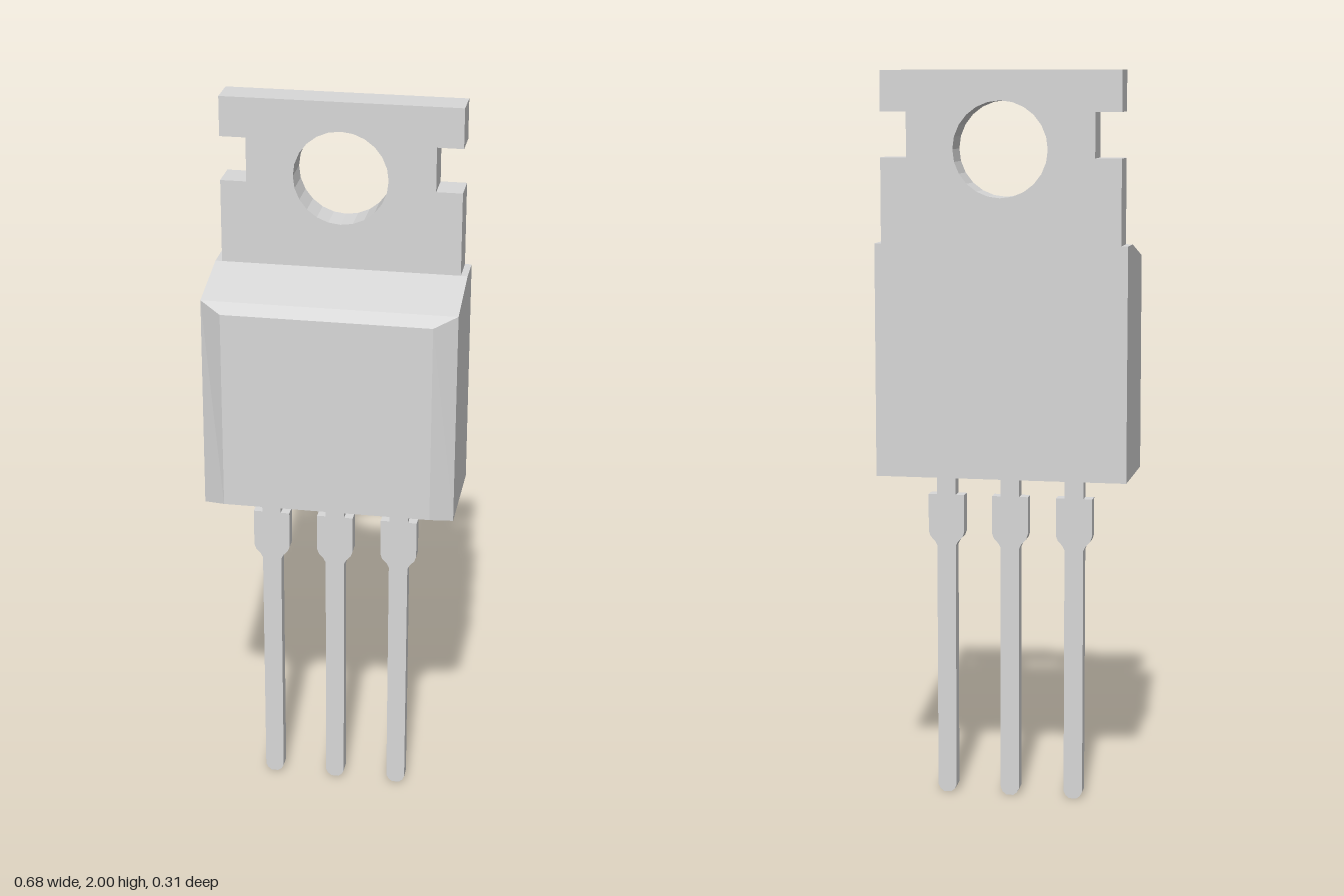
import * as THREE from 'three';

const metalGray = new THREE.MeshStandardMaterial({ color: 0xd8d8d8 });
metalGray.name = 'metalGray';

// Closed counterclockwise outline from the right half (listed bottom to top)
function mirroredShape(half) {
  const left = half.map(([x, y]) => [-x, y]).reverse();
  return new THREE.Shape([...half, ...left].map(([x, y]) => new THREE.Vector2(x, y)));
}

function plate(name, shape, z0, z1) {
  const geo = new THREE.ExtrudeGeometry(shape, { depth: z1 - z0, bevelEnabled: false, curveSegments: 12 });
  geo.translate(0, 0, z0);
  const mesh = new THREE.Mesh(geo, metalGray);
  mesh.name = name;
  return mesh;
}

// Solid skinned over rectangular sections running back to front
function sectionSolid(sections) {
  const pos = [];
  const rings = sections.map(([z, x, y0, y1, zTop = z]) => [[-x, y0, z], [x, y0, z], [x, y1, zTop], [-x, y1, zTop]]);
  const quad = (a, b, c, d) => pos.push(...a, ...b, ...c, ...a, ...c, ...d);
  for (let i = 0; i < rings.length - 1; i++) {
    const r = rings[i], s = rings[i + 1];
    for (let k = 0; k < 4; k++) {
      const n = (k + 1) % 4;
      quad(r[k], r[n], s[n], s[k]);
    }
  }
  const b = rings[0], f = rings[rings.length - 1];
  quad(b[3], b[2], b[1], b[0]);
  quad(f[0], f[1], f[2], f[3]);
  const geo = new THREE.BufferGeometry();
  geo.setAttribute('position', new THREE.Float32BufferAttribute(pos, 3));
  geo.computeVertexNormals();
  return geo;
}

export function createModel() {
  const group = new THREE.Group();
  group.name = 'transistor';

  // Moulded body with sloped top and chamfered front
  const body = new THREE.Mesh(sectionSolid([
    [-0.158, 0.34, 0.918, 1.545],
    [-0.069, 0.34, 0.918, 1.545],
    [0.123, 0.34, 0.918, 1.503, 0.116],
    [0.157, 0.28, 0.932, 1.482],
  ]), metalGray);
  body.name = 'body';
  group.add(body);

  // Notched mounting tab with a round hole
  const tabShape = mirroredShape([
    [0.322, 1.545], [0.322, 1.772], [0.252, 1.772], [0.252, 1.892], [0.322, 1.892], [0.322, 2],
  ]);
  const hole = new THREE.Path();
  hole.absarc(0, 1.794, 0.127, 0, Math.PI * 2, true);
  tabShape.holes.push(hole);
  group.add(plate('mountingTab', tabShape, -0.158, -0.069));

  // Three leads, each with a wide shoulder and a rounded tip
  const leadShape = mirroredShape([
    [0.01, 0], [0.02, 0.008], [0.026, 0.02], [0.026, 0.703], [0.032, 0.715],
    [0.045, 0.729], [0.05, 0.743], [0.05, 0.847], [0.026, 0.847], [0.026, 0.918],
  ]);
  ['rightLead', 'middleLead', 'leftLead'].forEach((name, i) => {
    const lead = plate(name, leadShape, -0.018, 0.019);
    lead.position.x = (i - 1) * 0.178;
    group.add(lead);
  });

  return group;
}
